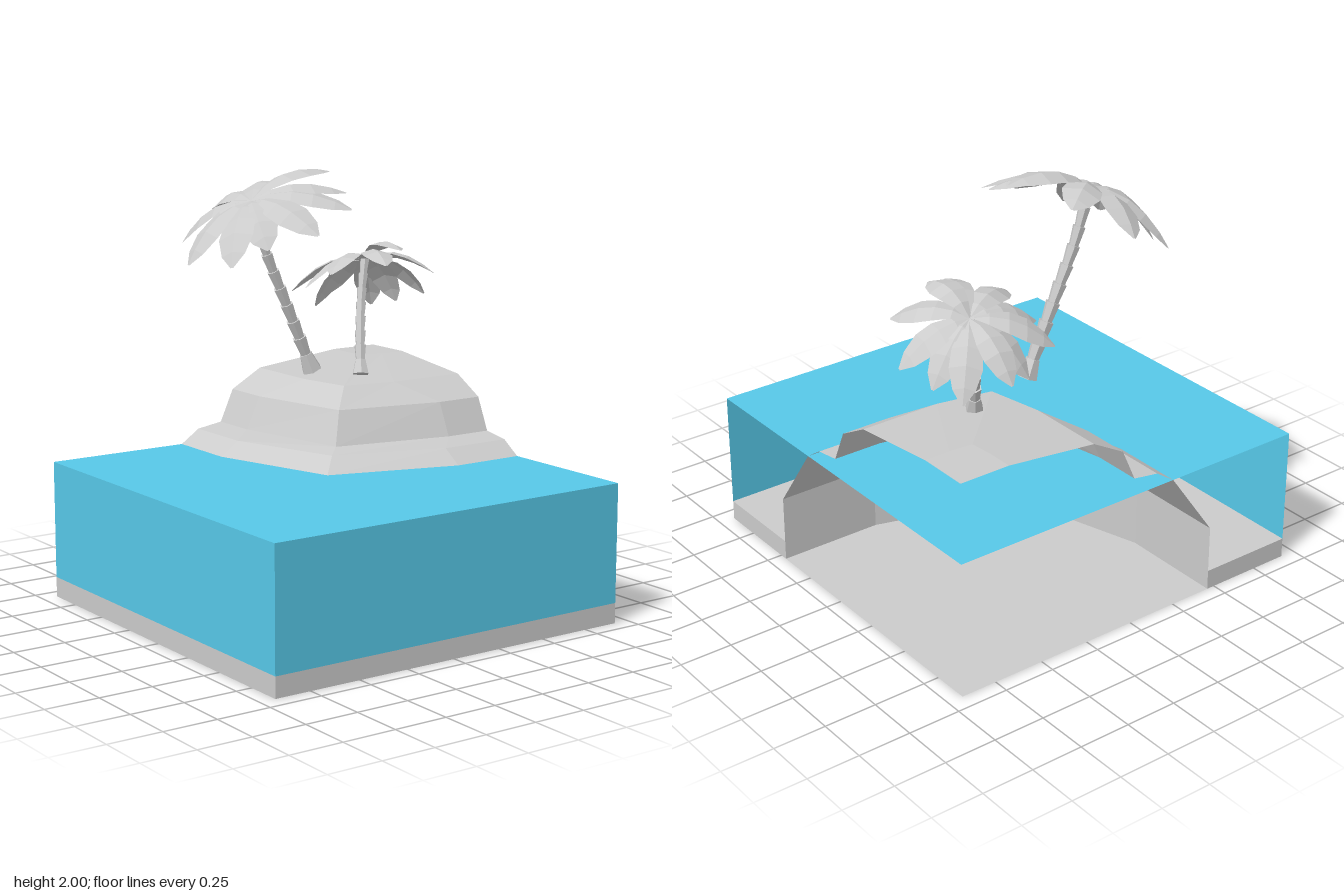
import * as THREE from 'three';

const H = 0.925; // half width of the block
const grey = new THREE.MeshStandardMaterial({ color: 0xcccccc, flatShading: true, side: THREE.DoubleSide });
const blue = new THREE.MeshStandardMaterial({ color: 0x57c8e8, flatShading: true, side: THREE.DoubleSide });
const V = (x, y, z) => new THREE.Vector3(x, y, z);

function add(parent, name, geometry, material = grey) {
  const mesh = new THREE.Mesh(geometry, material);
  mesh.name = name;
  parent.add(mesh);
  return mesh;
}

// Faceted surface through rows of points
function loft(rows) {
  const pos = [], index = [], n = rows[0].length;
  rows.forEach(row => row.forEach(p => pos.push(p.x, p.y, p.z)));
  for (let j = 0; j < rows.length - 1; j++)
    for (let i = 0; i < n - 1; i++) {
      const a = j * n + i, d = a + n;
      index.push(a, a + 1, d + 1, a, d + 1, d);
    }
  const g = new THREE.BufferGeometry();
  g.setAttribute('position', new THREE.Float32BufferAttribute(pos, 3));
  g.setIndex(index);
  g.computeVertexNormals();
  return g;
}

// Upright wall along a line of [x, z] points
const wall = (line, y0, y1) => loft([y0, y1].map(y => line.map(([x, z]) => V(x, y, z))));

// Horizontal polygon of [x, z] points
function floor(points, y) {
  const shape = new THREE.Shape(points.map(([x, z]) => new THREE.Vector2(x, z)));
  return new THREE.ShapeGeometry(shape).rotateX(Math.PI / 2).translate(0, y, 0);
}

// Island outline, symmetric about the diagonal: edge distance, bend and corner
const contour = (edge, bend, corner) =>
  [[-H, edge], [bend, edge], [corner, corner], [edge, bend], [edge, -H]];

// Segmented trunk along a curve: each piece widens upwards, the lowest flares at the foot
function makeTrunk(curve, segments, r0, r1) {
  const trunk = new THREE.Group();
  trunk.name = 'trunk';
  for (let i = 0; i < segments; i++) {
    const a = curve.getPointAt(i / segments), b = curve.getPointAt((i + 1) / segments);
    const r = THREE.MathUtils.lerp(r0, r1, i / segments);
    const bottom = i === 0 ? r * 1.5 : r * 0.85;
    const piece = add(trunk, 'trunkSegment',
      new THREE.CylinderGeometry(r * (i === 0 ? 0.95 : 1.12), bottom, a.distanceTo(b), 6));
    piece.position.copy(a).lerp(b, 0.5);
    piece.quaternion.setFromUnitVectors(V(0, 1, 0), b.clone().sub(a).normalize());
  }
  return trunk;
}

// Arched leaf with a centre ridge, from the crown to its tip
function makeLeaf(center, tip, axis, halfWidth, lift) {
  const control = center.clone().lerp(tip, 0.5).addScaledVector(axis, lift);
  const curve = new THREE.QuadraticBezierCurve3(center, control, tip);
  const side = tip.clone().sub(center).cross(axis).normalize();
  const profile = [[0, 0.12], [0.22, 0.55], [0.45, 0.92], [0.66, 1], [0.86, 0.68], [1, 0.08]];
  return loft(profile.map(([t, w]) => {
    const p = curve.getPoint(t), s = w * halfWidth;
    return [-1, 0, 1].map(k => p.clone().addScaledVector(side, k * s)
      .addScaledVector(axis, -Math.abs(k) * s * 0.3));
  }));
}

function makePalm({ name, path, segments, r0, r1, axis, tips, halfWidth, lift }) {
  const palm = new THREE.Group();
  palm.name = name;
  const points = path.map(p => V(...p));
  palm.add(makeTrunk(new THREE.CatmullRomCurve3(points), segments, r0, r1));
  const crown = new THREE.Group();
  crown.name = 'crown';
  const n = V(...axis).normalize();
  tips.forEach(t => add(crown, 'leaf', makeLeaf(points.at(-1), V(...t), n, halfWidth, lift)));
  palm.add(crown);
  return palm;
}

export function createModel() {
  const model = new THREE.Group();

  // Island shell, open at the back and on the -x side: [y, edge, bend, corner]
  const levels = [
    [0, 0.46, -0.42, 0.26], [0.32, 0.46, -0.42, 0.26], [0.65, 0.225, -0.57, 0.045],
    [0.715, 0.13, -0.57, -0.04], [0.735, 0, -0.69, -0.115], [0.89, -0.07, -0.69, -0.18],
    [0.98, -0.23, -0.54, -0.28], [1.03, -0.68, -0.8, -0.69], [1.03, -H, -H, -H],
  ];
  add(model, 'island', loft(levels.map(([y, ...c]) => contour(...c).map(([x, z]) => V(x, y, z)))));

  // Seabed slab around the island foot
  const square = [[-H, -H], [H, -H], [H, H], [-H, H]];
  const foot = contour(0.46, -0.42, 0.26);
  add(model, 'seabed', floor([...foot, ...square.slice(1)], 0.095));
  add(model, 'seabedSides', wall([foot[0], [-H, H], [H, H], [H, -H], foot[4]], 0, 0.095));
  add(model, 'bottom', floor(square, 0));

  // Water: surface plus the front and +x walls
  add(model, 'waterSurface', floor(square, 0.65), blue);
  add(model, 'waterWalls', wall([[-H, H], [H, H], [H, -H]], 0.095, 0.65), blue);

  // Palms
  model.add(makePalm({
    name: 'tallPalm',
    path: [[-0.38, 1.055, -0.165], [-0.385, 1.4, -0.015], [-0.39, 1.63, 0.085], [-0.39, 1.87, 0.165]],
    segments: 10, r0: 0.033, r1: 0.023, axis: [0, 0.92, 0.38], halfWidth: 0.085, lift: 0.13,
    tips: [
      [-0.39, 1.6, 0.505], [-0.13, 1.61, 0.44], [-0.09, 1.68, 0.27], [0.04, 1.745, 0.09],
      [-0.055, 1.84, -0.16], [-0.21, 1.9, -0.24], [-0.39, 1.985, -0.27], [-0.6, 1.9, -0.1],
      [-0.79, 1.79, 0.08], [-0.73, 1.66, 0.325], [-0.57, 1.63, 0.38],
    ],
  }));
  model.add(makePalm({
    name: 'shortPalm',
    path: [[-0.395, 1.0, -0.46], [-0.46, 1.18, -0.505], [-0.52, 1.36, -0.555], [-0.555, 1.53, -0.6]],
    segments: 8, r0: 0.028, r1: 0.02, axis: [-0.3, 0.94, -0.12], halfWidth: 0.07, lift: 0.13,
    tips: [
      [-0.465, 1.35, -0.895], [-0.27, 1.48, -0.8], [-0.28, 1.6, -0.61], [-0.2, 1.545, -0.465],
      [-0.37, 1.5, -0.27], [-0.55, 1.42, -0.25], [-0.73, 1.38, -0.29], [-0.76, 1.29, -0.45],
      [-0.845, 1.335, -0.6], [-0.76, 1.27, -0.79], [-0.62, 1.3, -0.84],
    ],
  }));

  return model;
}
